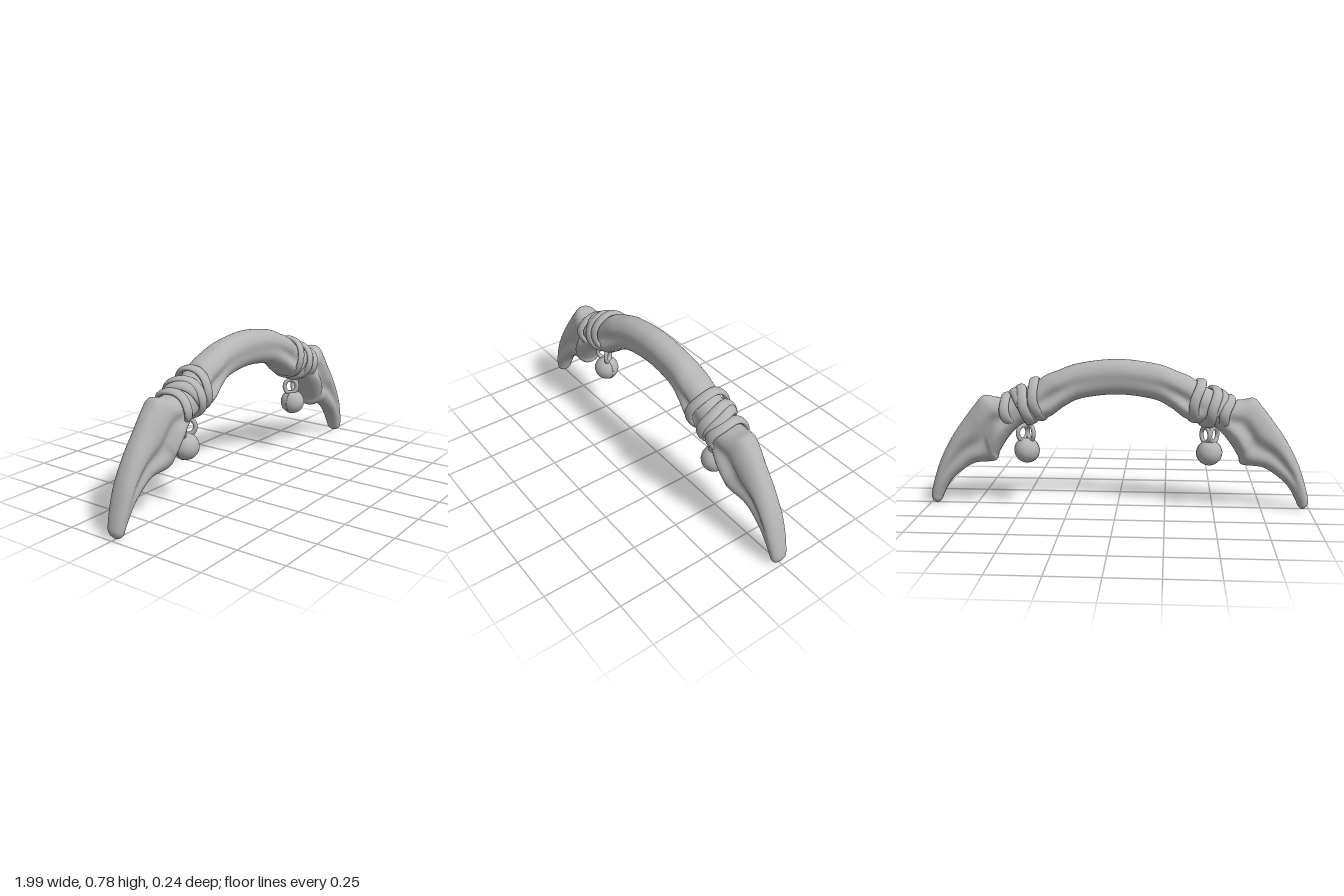
import * as THREE from 'three';

const bone = new THREE.MeshStandardMaterial({ color: 0xb4b4b4 });
bone.name = 'bone grey';

function mesh(name, geometry) {
  const m = new THREE.Mesh(geometry, bone);
  m.name = name;
  return m;
}

// Smooth skin over rows of points; every row closes on itself, rows may also close.
function skin(rows, cols, closed, point) {
  const pos = [], index = [];
  for (let i = 0; i < rows; i++) for (let j = 0; j < cols; j++) pos.push(...point(i, j));
  for (let i = 0; i < (closed ? rows : rows - 1); i++) {
    for (let j = 0; j < cols; j++) {
      const k = (j + 1) % cols, n = (i + 1) % rows;
      const a = i * cols + j, b = i * cols + k, c = n * cols + j, d = n * cols + k;
      index.push(a, b, c, b, d, c);
    }
  }
  const g = new THREE.BufferGeometry();
  g.setAttribute('position', new THREE.Float32BufferAttribute(pos, 3));
  g.setIndex(index);
  g.computeVertexNormals();
  return g;
}

// Half of the arch: outer x y, inner x y, outer depth, inner depth, side groove
const half = [
  [0.00, 0.778, 0.00, 0.597, 0.076, 0.070, 0.06],
  [0.20, 0.755, 0.18, 0.576, 0.078, 0.076, 0.10],
  [0.31, 0.716, 0.27, 0.535, 0.088, 0.092, 0.22],
  [0.375, 0.690, 0.335, 0.487, 0.085, 0.108, 0.32],
  [0.43, 0.650, 0.385, 0.462, 0.085, 0.105, 0.20],
  [0.49, 0.620, 0.43, 0.450, 0.085, 0.090, 0.05],
  [0.57, 0.575, 0.495, 0.438, 0.085, 0.090, 0.05],
  [0.635, 0.574, 0.545, 0.395, 0.088, 0.108, 0.22],
  [0.70, 0.583, 0.585, 0.345, 0.082, 0.122, 0.36],
  [0.745, 0.537, 0.625, 0.280, 0.082, 0.112, 0.42],
  [0.79, 0.480, 0.645, 0.237, 0.078, 0.088, 0.42],
  [0.865, 0.375, 0.755, 0.222, 0.070, 0.064, 0.36],
  [0.928, 0.260, 0.850, 0.160, 0.064, 0.058, 0.22],
  [0.966, 0.160, 0.897, 0.108, 0.057, 0.053, 0.06],
  [0.994, 0.060, 0.930, 0.047, 0.046, 0.043, 0],
  [0.992, 0.024, 0.942, 0.019, 0.038, 0.036, 0],
  [0.976, 0.003, 0.958, 0.003, 0.016, 0.016, 0],
  [0.967, 0.000, 0.967, 0.000, 0.000, 0.000, 0],
];

function spline(p0, p1, p2, p3, t) {
  return 0.5 * (2 * p1 + (p2 - p0) * t + (2 * p0 - 5 * p1 + 4 * p2 - p3) * t * t
    + (3 * p1 - p0 - 3 * p2 + p3) * t * t * t);
}

function archGeometry() {
  const mirrored = half.slice(1).reverse().map(s => s.map((v, k) => (k === 0 || k === 2 ? -v : v)));
  const keys = [...mirrored, ...half];
  const steps = 7, cols = 56, last = keys.length - 1;
  const sections = [];
  for (let n = 0; n <= last * steps; n++) {
    const i = Math.min(Math.floor(n / steps), last - 1), t = n / steps - i;
    const at = k => keys[Math.max(0, Math.min(last, k))];
    sections.push(keys[0].map((_, k) =>
      spline(at(i - 1)[k], at(i)[k], at(i + 1)[k], at(i + 2)[k], t)));
  }
  return skin(sections.length, cols, false, (i, j) => {
    const [ox, oy, ix, iy, outer, inner, groove] = sections[i];
    const a = (j / cols) * Math.PI * 2, t = Math.cos(a);
    const depth = THREE.MathUtils.lerp(inner, outer, THREE.MathUtils.smoothstep(t, -0.6, 0.6));
    const hollow = 1 - groove * Math.exp(-(((t + 0.08) / 0.32) ** 2));
    const s = Math.sign(Math.sin(a)) * Math.abs(Math.sin(a)) ** 0.85;
    return [(ox + ix) / 2 + (ox - ix) / 2 * t, (oy + iy) / 2 + (oy - iy) / 2 * t,
      depth * s * hollow];
  });
}

// Flat rounded band looped round the neck; skew slides it along the neck front to back
function bandGeometry([tx, ty, bx, by, depth, skew]) {
  const cx = (tx + bx) / 2, cy = (ty + by) / 2, ux = (tx - bx) / 2, uy = (ty - by) / 2;
  const h = Math.hypot(ux, uy), wx = uy / h, wy = -ux / h;
  const rows = 48, cols = 12;
  return skin(rows, cols, true, (i, j) => {
    const u = (i / rows) * Math.PI * 2, v = (j / cols) * Math.PI * 2;
    const along = 0.026 * Math.cos(v) + skew * Math.sin(u) + 0.006 * Math.sin(3 * u);
    const out = 0.013 * Math.sin(v);
    const r = (h - 0.008 + out) * Math.cos(u);
    return [cx + ux / h * r + wx * along, cy + uy / h * r + wy * along,
      (depth - 0.013 + out) * Math.sin(u)];
  });
}

// Bands: top x y, bottom x y, half depth, skew
const bands = [
  [0.432, 0.678, 0.388, 0.458, 0.115, -0.010],
  [0.505, 0.640, 0.455, 0.434, 0.118, 0.012],
  [0.580, 0.597, 0.540, 0.422, 0.112, -0.008],
  [0.550, 0.615, 0.425, 0.446, 0.108, 0.018],
];

function wrapAndBell() {
  const g = new THREE.Group();
  bands.forEach(b => g.add(mesh('wrapBand', bandGeometry(b))));

  // Round bell with its seam
  const bell = mesh('bell', new THREE.SphereGeometry(0.066, 32, 24));
  bell.position.set(0.477, 0.294, 0);
  bell.add(mesh('bellSeam', new THREE.TorusGeometry(0.0655, 0.0025, 8, 48)));
  g.add(bell);

  // Pair of hanging links
  for (const s of [-1, 1]) {
    const link = mesh('hangingLink', new THREE.TorusGeometry(0.034, 0.011, 12, 28));
    link.position.set(0.477 + s * 0.021, 0.388, 0);
    link.rotation.y = s * 0.95;
    link.scale.y = 1.15;
    g.add(link);
  }
  return g;
}

export function createModel() {
  const model = new THREE.Group();
  model.name = 'boneArch';
  model.add(mesh('arch', archGeometry()));
  const left = wrapAndBell();
  left.name = 'leftWrap';
  const right = wrapAndBell();
  right.name = 'rightWrap';
  right.rotation.y = Math.PI;
  model.add(left, right);
  return model;
}
